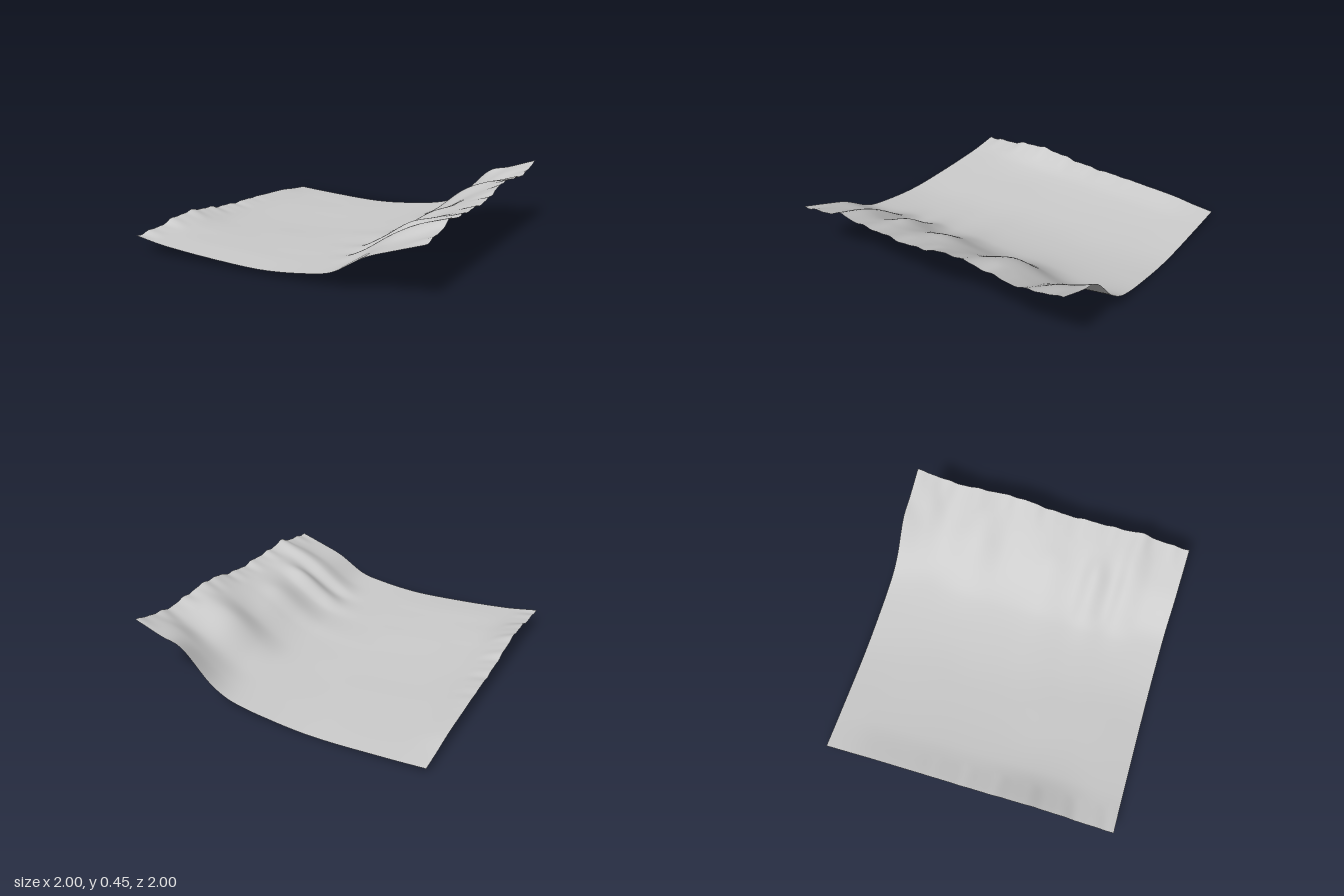
import * as THREE from 'three';

// Terrain heights: one cross-section (row) per z station, sampled at the x stations
const X = [-1, -0.75, -0.3, 0, 0.3, 0.45, 0.65, 0.8, 1];
const Z = [-1, -0.85, -0.7, -0.45, -0.25, -0.05, 0.1, 0.3, 0.42, 0.55, 0.65, 0.8, 1];
const ROWS = [
  [0.04, 0.022, 0.001, 0.018, 0.065, 0.145, 0.34, 0.385, 0.45],
  [0.055, 0.03, 0.007, 0.02, 0.062, 0.12, 0.27, 0.36, 0.425],
  [0.075, 0.035, 0.012, 0.022, 0.062, 0.11, 0.235, 0.31, 0.4],
  [0.09, 0.045, 0.018, 0.024, 0.068, 0.14, 0.3, 0.37, 0.42],
  [0.1, 0.05, 0.02, 0.027, 0.066, 0.12, 0.24, 0.33, 0.43],
  [0.105, 0.055, 0.025, 0.03, 0.068, 0.125, 0.25, 0.32, 0.395],
  [0.115, 0.06, 0.03, 0.035, 0.075, 0.14, 0.27, 0.32, 0.375],
  [0.14, 0.068, 0.04, 0.038, 0.066, 0.115, 0.235, 0.31, 0.38],
  [0.155, 0.075, 0.043, 0.04, 0.075, 0.15, 0.28, 0.325, 0.38],
  [0.155, 0.08, 0.046, 0.042, 0.068, 0.11, 0.225, 0.31, 0.385],
  [0.145, 0.08, 0.048, 0.042, 0.072, 0.135, 0.265, 0.34, 0.4],
  [0.12, 0.08, 0.05, 0.043, 0.07, 0.11, 0.23, 0.29, 0.36],
  [0.11, 0.075, 0.045, 0.04, 0.07, 0.105, 0.22, 0.275, 0.34],
];

// Smooth interpolation through uneven stations (cubic Hermite)
function sample(stations, values, t) {
  const last = stations.length - 1;
  let i = 0;
  while (i < last - 1 && t > stations[i + 1]) i++;
  const slope = (k) => {
    const a = Math.max(k - 1, 0), b = Math.min(k + 1, last);
    return (values[b] - values[a]) / (stations[b] - stations[a]);
  };
  const w = stations[i + 1] - stations[i];
  const u = (t - stations[i]) / w, u2 = u * u, u3 = u2 * u;
  return (2 * u3 - 3 * u2 + 1) * values[i] + (u3 - 2 * u2 + u) * w * slope(i)
    + (3 * u2 - 2 * u3) * values[i + 1] + (u3 - u2) * w * slope(i + 1);
}

// Small crinkles along the two side edges, fading inward
function crinkle(x, z) {
  const fade = Math.max(0, (Math.abs(x) - 0.85) / 0.15);
  const calm = x < 0 ? THREE.MathUtils.smoothstep(z, -0.6, 0.2) : 1;
  return 0.005 * fade * calm * (Math.sin(z * 31) + 0.6 * Math.sin(z * 57 + 1));
}

function createTerrain(material) {
  const geometry = new THREE.PlaneGeometry(2, 2, 100, 100).rotateX(-Math.PI / 2);
  const pos = geometry.attributes.position;
  for (let i = 0; i < pos.count; i++) {
    const x = pos.getX(i), z = pos.getZ(i);
    const section = ROWS.map((row) => sample(X, row, x));
    pos.setY(i, Math.max(0, sample(Z, section, z) + crinkle(x, z)));
  }
  geometry.computeVertexNormals();
  const mesh = new THREE.Mesh(geometry, material);
  mesh.name = 'terrainSurface';
  return mesh;
}

export function createModel() {
  const ground = new THREE.MeshStandardMaterial({ color: 0xcccccc, side: THREE.DoubleSide });
  ground.name = 'lightGrey';
  const model = new THREE.Group();
  model.name = 'terrain';
  model.add(createTerrain(ground));
  return model;
}
